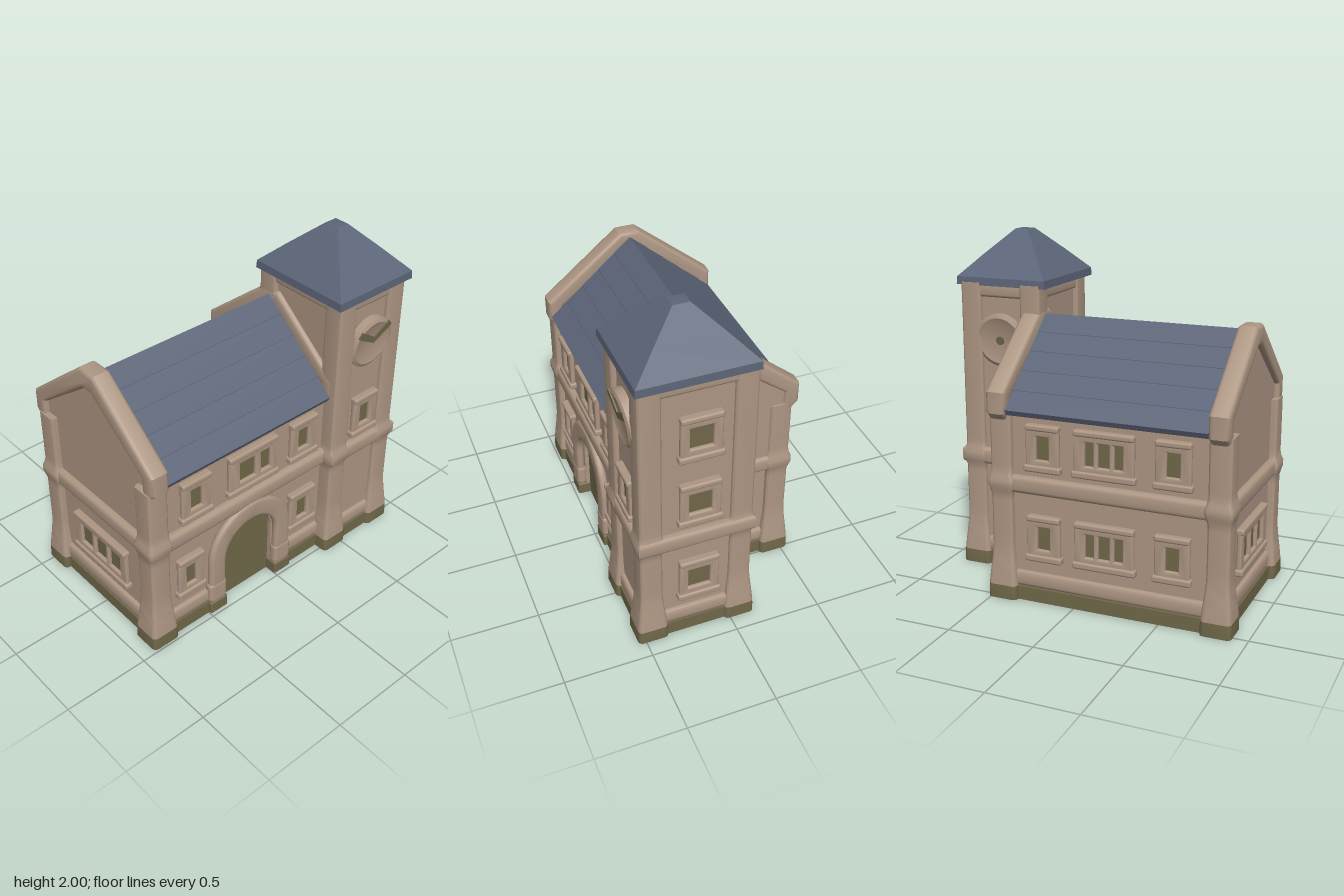
import * as THREE from 'three';
import { toCreasedNormals } from 'three/addons/utils/BufferGeometryUtils.js';
import { RoundedBoxGeometry } from 'three/addons/geometries/RoundedBoxGeometry.js';

const material = (name, color) => {
  const m = new THREE.MeshStandardMaterial({ color });
  m.name = name;
  return m;
};

export function createModel() {
  const stone = material('sandstone', 0xad9683);
  const slate = material('slate', 0x5c6578);
  const olive = material('olive', 0x70684a);
  const model = new THREE.Group();
  model.name = 'gatehouse';

  const add = (name, geo, mat, parent = model, x = 0, y = 0, z = 0) => {
    const m = new THREE.Mesh(geo, mat);
    m.name = name;
    m.position.set(x, y, z);
    parent.add(m);
  };
  const block = (name, w, h, d, x, y, z, mat = stone, parent = model, r = 0.012) =>
    add(name, new RoundedBoxGeometry(w, h, d, 2, Math.min(r, d / 2.1)), mat, parent, x, y, z);
  const polygon = (pts) => new THREE.Shape(pts.map(([x, y]) => new THREE.Vector2(x, y)));
  // extrusion whose bevel stays inside its outline, starting at z = 0
  const extrude = (shape, depth, bevel = 0, crease = 0.6) => {
    const g = new THREE.ExtrudeGeometry(shape, {
      depth: depth - 2 * bevel, bevelEnabled: bevel > 0, bevelSize: bevel, bevelThickness: bevel,
      bevelOffset: -bevel, bevelSegments: 3, curveSegments: 16,
    });
    g.translate(0, 0, bevel);
    return toCreasedNormals(g, crease);
  };

  // Footprint corners: x, z and the outward directions used for offsetting; it begins and ends at the doorway
  const plan = [
    [-0.44, 0.43, 0, 1], [-0.85, 0.43, -1, 1], [-0.85, -0.48, -1, -1], [0.46, -0.48, 1, -1], [0.46, -0.09, 1, -1],
    [0.86, -0.09, 1, -1], [0.86, 0.49, 1, 1], [0.41, 0.49, -1, 1], [0.41, 0.43, -1, 1], [0.06, 0.43, 0, 1],
  ];
  const towerPlan = [[0.41, -0.09, -1, -1], [0.86, -0.09, 1, -1], [0.86, 0.49, 1, 1], [0.41, 0.49, -1, 1]];
  const ring = (name, outline, out, y0, y1, mat, bevel = 0, open = false) => {
    const at = (d) => outline.map(([x, z, sx, sz]) => [x + sx * d, -(z + sz * d)]).reverse();
    const shape = polygon(open ? [...at(out), ...at(-0.04).reverse()] : at(out));
    if (!open) shape.holes.push(polygon(at(-0.04)));
    add(name, extrude(shape, y1 - y0, bevel).rotateX(-Math.PI / 2), mat, model, 0, y0, 0);
  };
  ring('walls', plan, 0, 0.08, 1.1, stone, 0, true);
  ring('towerWalls', towerPlan, 0, 1.05, 1.71, stone);
  ring('plinth', plan, 0.03, 0, 0.08, olive, 0, true);
  ring('wallFoot', plan, 0.025, 0.08, 0.17, stone, 0.02, true);
  ring('stringCourse', plan, 0.04, 0.63, 0.73, stone, 0.025);
  ring('towerCornice', towerPlan, 0.02, 1.63, 1.71, stone, 0.015);

  // Corner piers: rounded squares that flare at the foot and bulge at the string course
  const pierHalf = (y) => 0.063 + 0.025 * (1 - THREE.MathUtils.smoothstep(y, 0.02, 0.34))
    + 0.016 * Math.exp(-(((y - 0.68) / 0.045) ** 4));
  const pier = (name, x, z, y0, y1, mat) => {
    const s = new THREE.Shape();
    const r = 0.3, k = 1 - r;
    s.absarc(k, k, r, 0, Math.PI / 2).absarc(-k, k, r, Math.PI / 2, Math.PI);
    s.absarc(-k, -k, r, Math.PI, 1.5 * Math.PI).absarc(k, -k, r, 1.5 * Math.PI, 2 * Math.PI);
    const g = new THREE.ExtrudeGeometry(s, {
      depth: y1 - y0, steps: Math.ceil((y1 - y0) / 0.03), bevelEnabled: false, curveSegments: 4,
    }).rotateX(-Math.PI / 2);
    const p = g.attributes.position;
    for (let i = 0; i < p.count; i++) {
      const f = pierHalf(p.getY(i) + y0);
      p.setX(i, p.getX(i) * f);
      p.setZ(i, p.getZ(i) * f);
    }
    add(name, toCreasedNormals(g, 0.9), mat, model, x, y0, z);
  };
  for (const [x, z, top, bottom] of [
    [-0.825, 0.4, 1.08, 0], [-0.825, -0.455, 1.08, 0], [0.43, -0.455, 1.08, 0],
    [0.82, 0.455, 1.71, 0], [0.445, 0.455, 1.71, 0], [0.82, -0.055, 1.71, 0], [0.445, -0.055, 1.71, 0.08],
  ]) {
    if (!bottom) pier('pierPlinth', x, z, 0, 0.08, olive);
    pier('cornerPier', x, z, 0.08, top, stone);
  }

  // Gable walls and copings, drawn across the house and extruded along x
  const mirrored = (half) => [...half, ...half.slice().reverse().map(([u, v]) => [-u, v])];
  const across = (name, pts, x0, x1, mat, bevel) =>
    add(name, extrude(polygon(pts), x1 - x0, bevel).rotateY(Math.PI / 2), mat, model, x0, 0, -0.035);
  const coping = mirrored([[0.03, 1.46], [0.43, 1.16], [0.43, 1.04], [0.48, 1.04], [0.52, 1.08], [0.52, 1.2], [0.06, 1.575]]);
  for (const [w0, w1, c0, c1, base] of [[-0.85, -0.81, -0.88, -0.765, 1.08], [0.42, 0.478, 0.38, 0.495, 0.7]]) {
    across('gableWall', [[-0.44, base], [0.44, base], [0.46, 1.16], [0, 1.5], [-0.46, 1.16]], w0, w1, stone, 0);
    across('gableCoping', coping, c0, c1, stone, 0.025);
  }

  // Main roof with shallow slate courses
  const slope = [];
  for (let i = 0; i < 5; i++) {
    for (const [t, lift] of [[i / 5, 0], [(i + 1) / 5, 0.003]]) slope.push([0.51 * t, 1.549 - 0.447 * t + lift]);
  }
  const underside = [[0.495, 1.075], [0, 1.5], [-0.495, 1.075]];
  across('mainRoof', [...slope.slice().reverse().map(([u, v]) => [-u, v]), ...slope.slice(1), ...underside],
    -0.79, 0.4, slate, 0);

  // Tower roof: four-sided lathe with a vertical eave and small flat top
  const profile = [[0, 1.695], [1, 1.695], [0.99, 1.74], [0.6, 1.86], [0.14, 1.995], [0, 2]]
    .map(([r, y]) => new THREE.Vector2(r * Math.SQRT2, y));
  const cap = new THREE.LatheGeometry(profile, 4, Math.PI / 4).scale(0.28, 1, 0.325);
  add('towerRoof', toCreasedNormals(cap, 0.35), slate, model, 0.63, 0, 0.212);

  // Windows: sloping surround, lintel, sill and panes let through the wall; panes are [offset, width]
  const rect = (x, w, h) => [[x - w / 2, -h / 2], [x + w / 2, -h / 2], [x + w / 2, h / 2], [x - w / 2, h / 2]];
  const makeWindow = (x, y, z, turn, w, h, panes, ph = 0.13) => {
    const g = new THREE.Group();
    g.name = 'window';
    g.position.set(x, y, z);
    g.rotation.y = turn;
    const s = polygon(rect(0, w, h));
    for (const [px, pw] of panes) s.holes.push(polygon(rect(px, pw, ph)));
    add('windowSurround', extrude(s, 0.03, 0.012), stone, g);
    for (const [px, pw] of panes) add('pane', new THREE.BoxGeometry(pw, ph, 0.056), olive, g, px, 0, -0.018);
    block('lintel', w, 0.035, 0.05, 0, h / 2 - 0.01, 0.015, stone, g);
    block('sill', w + 0.02, 0.04, 0.05, 0, -h / 2 + 0.01, 0.017, stone, g);
    model.add(g);
  };
  const one = [[0, 0.075]];
  const two = [[-0.04, 0.112], [0.092, 0.069]];
  const three = [[-0.085, 0.05], [0, 0.065], [0.085, 0.05]];
  const half = Math.PI / 2;
  for (const [x, y, panes, w] of [[-0.57, 0.9, one, 0.2], [-0.17, 0.9, two, 0.35], [0.21, 0.9, one, 0.2],
    [-0.615, 0.38, [[0, 0.065]], 0.18], [0.225, 0.38, one, 0.2]]) makeWindow(x, y, 0.43, 0, w, 0.25, panes);
  for (const y of [0.38, 0.9]) {
    makeWindow(0.18, y, -0.48, 2 * half, 0.2, 0.25, one);
    makeWindow(-0.18, y, -0.48, 2 * half, 0.35, 0.25, three);
    makeWindow(-0.57, y, -0.48, 2 * half, 0.2, 0.25, one);
  }
  for (const y of [0.38, 0.92, 1.35]) makeWindow(0.86, y, 0.185, half, 0.23, 0.26, [[0, 0.125]]);
  makeWindow(0.64, 0.9, 0.49, 0, 0.19, 0.25, one);
  makeWindow(0.46, 0.38, -0.23, half, 0.17, 0.25, [[0, 0.06]]);
  makeWindow(-0.85, 0.38, -0.03, -half, 0.48, 0.25, [[-0.13, 0.1], [0, 0.1], [0.13, 0.1]]);

  // Arched doorway: wall panel with an opening, recessed door and raised surround
  const doorX = -0.19;
  const archBand = (outer) => {
    const s = new THREE.Shape();
    outer(s);
    s.lineTo(-0.19, 0).lineTo(-0.19, 0.35);
    s.absarc(0, 0.35, 0.19, Math.PI, 0, true).lineTo(0.19, 0);
    return s;
  };
  const panel = archBand((s) => s.moveTo(0.19, 0).lineTo(0.25, 0).lineTo(0.25, 1.1).lineTo(-0.25, 1.1).lineTo(-0.25, 0));
  add('doorWall', extrude(panel, 0.04), stone, model, doorX, 0, 0.39);
  const surround = archBand((s) => {
    s.moveTo(0.19, 0).lineTo(0.3, 0).lineTo(0.3, 0.36);
    s.absarc(0, 0.36, 0.3, 0, Math.PI).lineTo(-0.3, 0);
  });
  add('doorArch', extrude(surround, 0.048, 0.02), stone, model, doorX, 0, 0.43);
  const leaf = new THREE.Shape();
  leaf.moveTo(-0.21, 0).lineTo(0.21, 0).lineTo(0.21, 0.35);
  leaf.absarc(0, 0.35, 0.21, 0, Math.PI).lineTo(-0.21, 0);
  add('door', extrude(leaf, 0.03), olive, model, doorX, 0, 0.375);
  for (const s of [-1, 1]) {
    block('archPlinth', 0.125, 0.08, 0.1, doorX + s * 0.247, 0.04, 0.433, olive);
    block('archFoot', 0.125, 0.14, 0.06, doorX + s * 0.247, 0.145, 0.452, stone, model, 0.025);
  }

  // Round dials on the tower's front and back, leaning out at the top
  for (const [z, s] of [[0.49, 1], [-0.075, -1]]) {
    const dial = new THREE.Group();
    dial.name = 'dial';
    dial.position.set(0.64, 1.385, z);
    dial.rotation.set(0.1 * s, s > 0 ? 0 : Math.PI, 0);
    const disc = new THREE.LatheGeometry([[0.155, -0.02], [0.155, 0.03], [0.135, 0.04], [0.11, 0.032], [0, 0.026]]
      .map(([r, y]) => new THREE.Vector2(r, y)), 32).rotateX(half);
    add('dialFace', toCreasedNormals(disc, 0.6), stone, dial);
    if (s > 0) {
      const v = polygon([[0, 0], [0.13, 0.075], [0.105, 0.11], [0, 0.04], [-0.105, 0.11], [-0.13, 0.075]]);
      add('dialHands', extrude(v, 0.008), olive, dial, 0, 0.005, 0.036);
    } else {
      add('dialBoss', new THREE.CylinderGeometry(0.025, 0.025, 0.008, 16).rotateX(half), olive, dial, 0, 0, 0.03);
    }
    model.add(dial);
  }
  return model;
}
